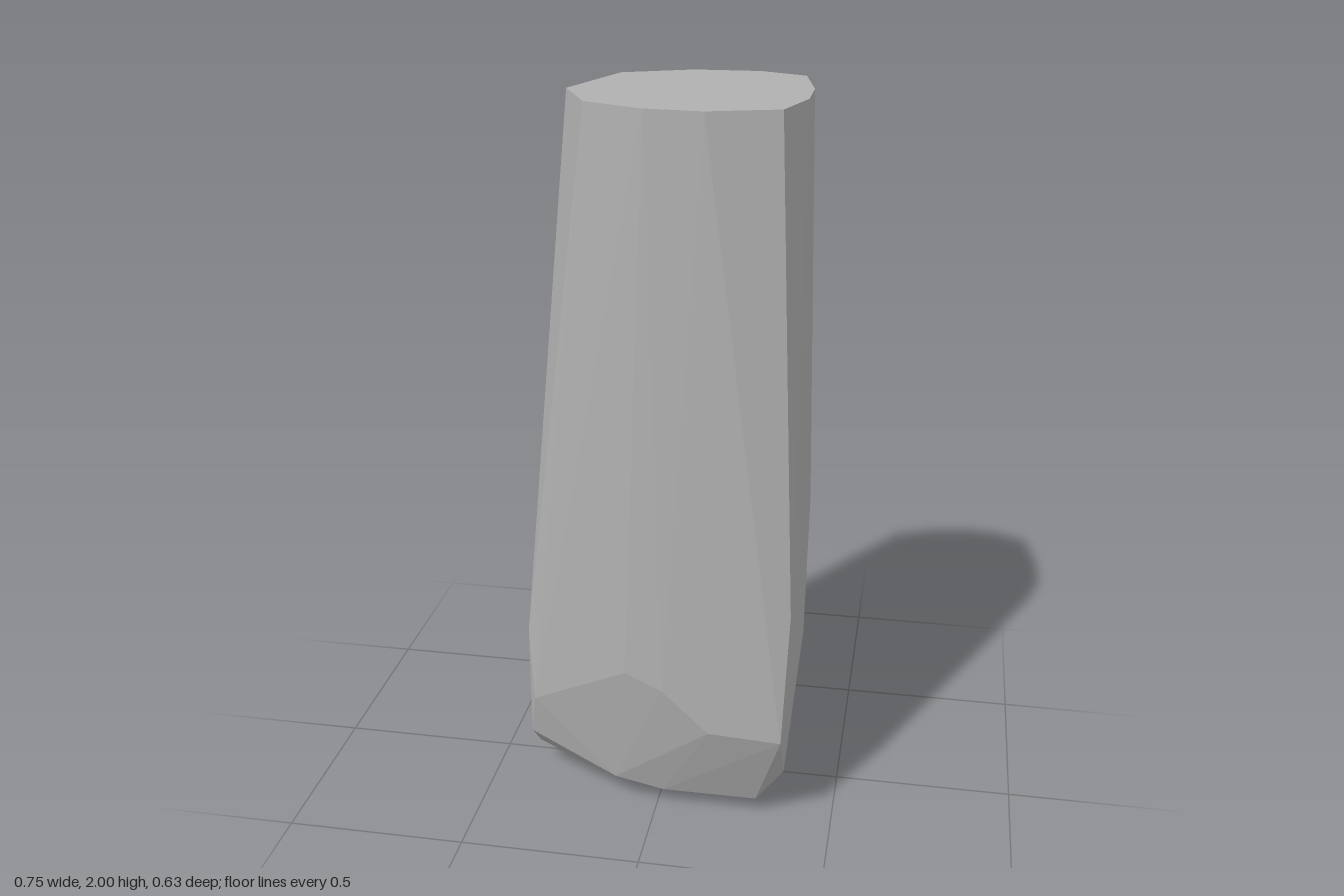
import * as THREE from 'three';
import { ConvexGeometry } from 'three/addons/geometries/ConvexGeometry.js';

// Faceted, tapering block with a flat top and a chamfered foot.
export function createModel() {
  const group = new THREE.Group();
  const stone = new THREE.MeshStandardMaterial({ color: 0xb0b0b0 });
  stone.name = 'stone grey';

  // Flat top outline [x, z]
  const top = [
    [-0.26, 0.045], [-0.175, -0.225], [0.01, -0.308], [0.19, -0.313], [0.32, -0.255], [0.36, -0.05],
    [0.36, 0.1], [0.315, 0.255], [0.135, 0.313], [-0.015, 0.3], [-0.175, 0.225],
  ];

  // Corners that occur on both the front and the back [x, y, z]
  const mirrored = [
    // lower body
    [-0.378, 0.5, 0.168], [-0.358, 0.3, 0.202], [-0.378, 0.17, 0.168],
    [-0.075, 0.465, 0.294], [0.03, 0.43, 0.313], [0.16, 0.31, 0.315], [0.36, 0.3, 0.315],
    // chamfered foot
    [-0.378, 0.08, 0.08], [-0.12, 0.08, 0.225], [0.02, 0.053, 0.227],
    [0.285, 0.05, 0.222], [0.29, 0.005, 0.1], [-0.12, 0.01, 0.08],
  ];

  // Single corners: the swelling of the straight side and the lowest tip
  const points = [[0.375, 0.68, 0.295], [0.375, 0.8, -0.21], [0.342, 0, 0]]
    .map((p) => new THREE.Vector3(...p));
  for (const [x, z] of top) points.push(new THREE.Vector3(x, 2, z));
  for (const [x, y, z] of mirrored) {
    points.push(new THREE.Vector3(x, y, z), new THREE.Vector3(x, y, -z));
  }

  const block = new THREE.Mesh(new ConvexGeometry(points), stone);
  block.name = 'facetedBlock';
  group.add(block);
  return group;
}
